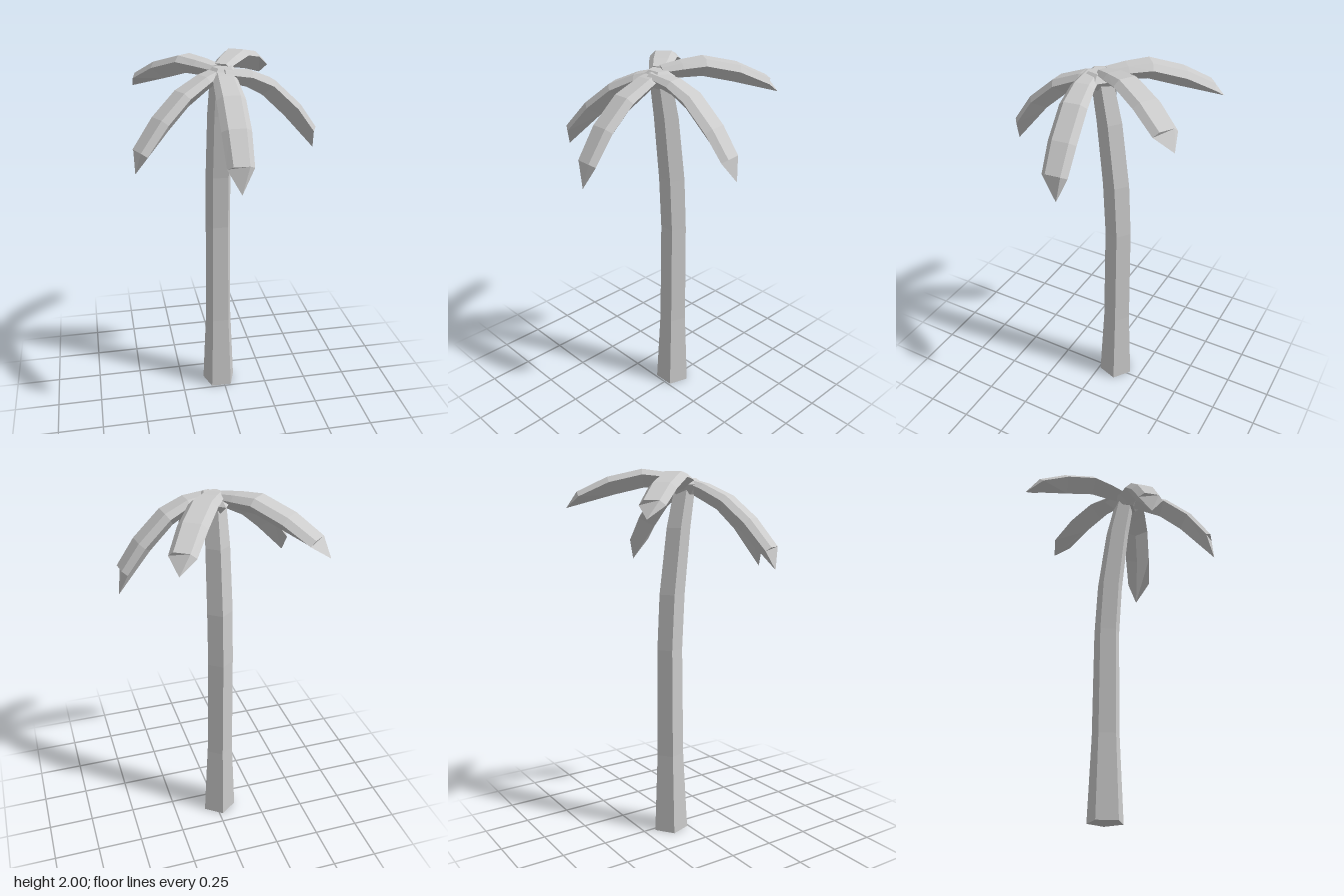
import * as THREE from 'three';

const material = new THREE.MeshStandardMaterial({ color: 0xcccccc, flatShading: true });

// Closed solid through rings of equal size, each counter-clockwise as seen from the far end
function loft(name, rings) {
  const n = rings[0].length;
  const index = [];
  for (let i = 0; i < rings.length - 1; i++) {
    for (let j = 0; j < n; j++) {
      const a = i * n + j, b = i * n + (j + 1) % n;
      index.push(a, b, b + n, a, b + n, a + n);
    }
  }
  const last = (rings.length - 1) * n;
  for (let j = 1; j < n - 1; j++) {
    index.push(0, j + 1, j);
    index.push(last, last + j, last + j + 1);
  }
  const indexed = new THREE.BufferGeometry().setFromPoints(rings.flat());
  indexed.setIndex(index);
  const geometry = indexed.toNonIndexed();
  geometry.computeVertexNormals();
  const mesh = new THREE.Mesh(geometry, material);
  mesh.name = name;
  return mesh;
}

// Five-sided trunk, one corner to the back, leaning forward at the top: [y, z, radius]
function makeTrunk() {
  const sections = [
    [0, -0.09, 0.099], [0.45, -0.092, 0.078], [1.05, -0.093, 0.073],
    [1.35, -0.077, 0.073], [1.7, -0.035, 0.068], [1.93, 0.01, 0.058],
  ];
  return loft('trunk', sections.map(([y, z, r]) =>
    Array.from({ length: 5 }, (_, k) => {
      const t = Math.PI / 2 + k * Math.PI * 2 / 5;
      return new THREE.Vector3(-0.02 + r * Math.cos(t), y, z - r * Math.sin(t));
    })));
}

// Frond with a flat back, two side edges and a keel below.
// profile: [distance, height] along the flat back; tip: end of the keel
function makeFrond(name, [ox, oz], [dx, dz], profile, tip) {
  const radii = [0.05, 0.066, 0.076, 0.077, 0.07];
  const depth = 0.69;
  const forward = new THREE.Vector3(dx, 0, dz).normalize();
  const side = new THREE.Vector3(0, 1, 0).cross(forward);
  const rings = profile.map(([d, y], i) => {
    const p = profile[Math.max(i - 1, 0)], q = profile[Math.min(i + 1, profile.length - 1)];
    const len = Math.hypot(q[0] - p[0], q[1] - p[1]);
    const nd = -(q[1] - p[1]) / len, ny = (q[0] - p[0]) / len;
    const r = radii[i];
    // w: across the frond, h: below its back
    const at = (w, h) => {
      const dist = d - nd * h * r * depth;
      return new THREE.Vector3(ox, y - ny * h * r * depth, oz)
        .addScaledVector(forward, dist).addScaledVector(side, w * r);
    };
    return [at(0.56, 0), at(-0.56, 0), at(-0.95, 0.55), at(0, 1.81), at(0.95, 0.55)];
  });
  rings[rings.length - 1][3].set(...tip);
  return loft(name, rings);
}

// Crown hub filling the gaps between the fronds
function makeHub() {
  const corners = [[0.075, 0], [-0.045, -0.11], [-0.115, 0.01], [-0.07, 0.1], [0.05, 0.1]];
  const ring = (y, s) => corners.map(([x, z]) =>
    new THREE.Vector3(-0.02 + (x + 0.02) * s, y, 0.02 + (z - 0.02) * s));
  return loft('crownHub', [ring(1.87, 0.55), ring(1.92, 1), ring(1.955, 0.55)]);
}

export function createModel() {
  const group = new THREE.Group();
  group.name = 'palmTree';
  group.add(makeTrunk(), makeHub());

  const fronds = [
    ['frontFrond', [-0.02, 0.03], [0, 1],
      [[0.0, 1.95], [0.09, 1.93], [0.24, 1.87], [0.38, 1.75], [0.485, 1.6]],
      [-0.02, 1.465, 0.527]],
    ['frontRightFrond', [-0.04, 0.03], [-0.89, 0.44],
      [[0.0, 1.95], [0.1, 1.925], [0.235, 1.865], [0.37, 1.755], [0.49, 1.615]],
      [-0.491, 1.5, 0.247]],
    ['leftFrond', [-0.02, 0.06], [1, -0.12],
      [[0.0, 1.95], [0.14, 1.935], [0.26, 1.885], [0.4, 1.755], [0.495, 1.625]],
      [0.484, 1.495, -0.02]],
    ['backLeftFrond', [-0.04, 0.03], [0.53, -0.85],
      [[0.03, 1.965], [0.13, 1.985], [0.25, 2.0], [0.43, 1.96], [0.59, 1.885]],
      [0.3, 1.8, -0.525]],
    ['backRightFrond', [-0.045, 0.0], [-0.64, -0.77],
      [[0.0, 1.96], [0.1, 1.975], [0.22, 1.985], [0.4, 1.93], [0.55, 1.85]],
      [-0.437, 1.765, -0.473]],
  ];
  for (const frond of fronds) group.add(makeFrond(...frond));
  return group;
}
